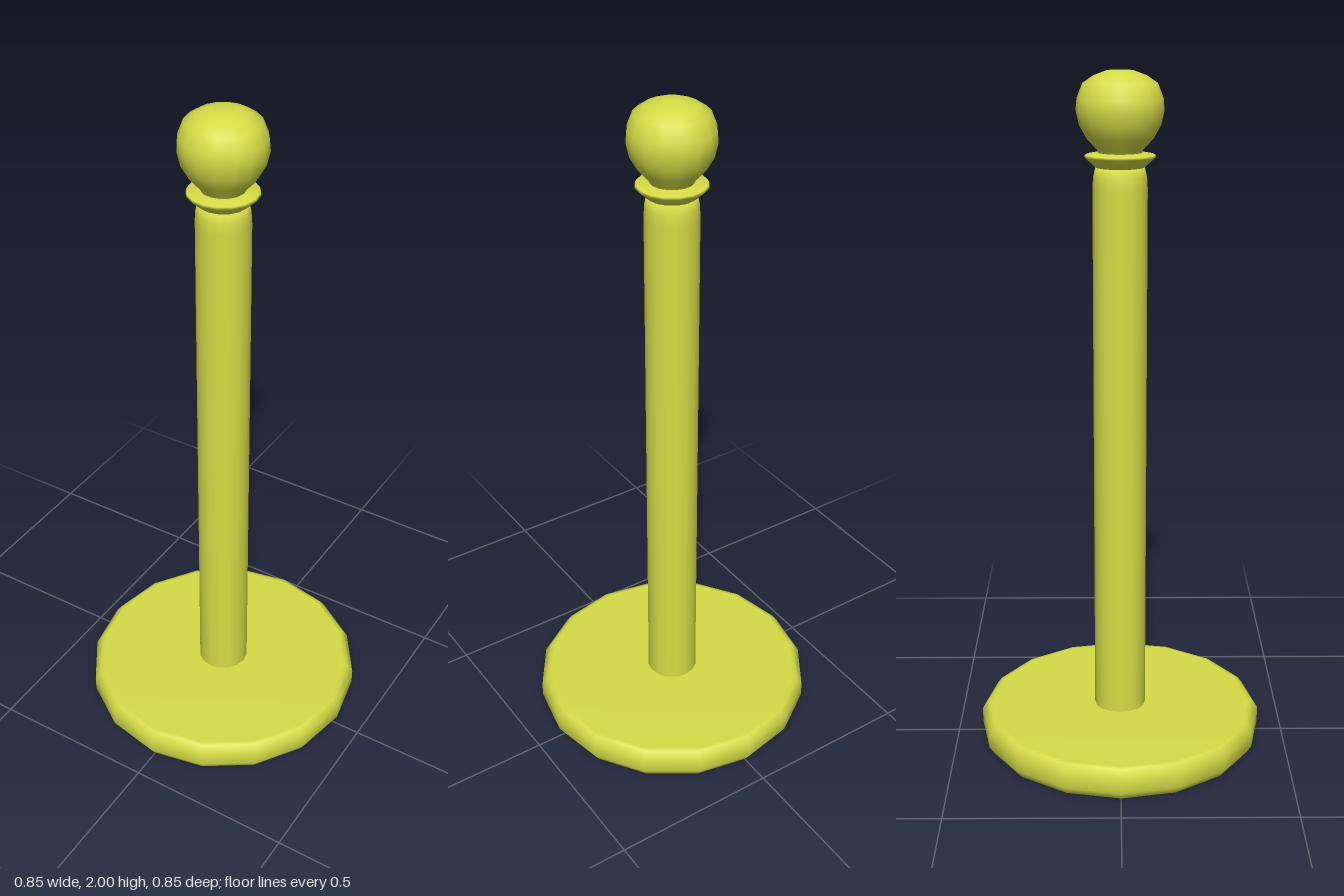
import * as THREE from 'three';

const SIDES = 16;
const material = new THREE.MeshStandardMaterial({ color: 0xd4dc46, side: THREE.DoubleSide });

// Turned part from [radius, height] pairs, listed bottom to top
function turned(name, profile) {
  const points = profile.map(([r, y]) => new THREE.Vector2(r, y));
  const mesh = new THREE.Mesh(new THREE.LatheGeometry(points, SIDES), material);
  mesh.name = name;
  return mesh;
}

export function createModel() {
  const group = new THREE.Group();
  group.name = 'barrierPost';

  // Heavy round foot with bevelled rims
  group.add(turned('base', [
    [0, 0], [0.395, 0], [0.41, 0.006], [0.425, 0.03],
    [0.425, 0.075], [0.408, 0.098], [0.395, 0.1], [0, 0.1],
  ]));

  // Upright pole with a slightly narrowed top
  group.add(turned('pole', [
    [0.077, 0.095], [0.077, 1.68], [0.075, 1.71], [0.068, 1.74], [0, 1.745],
  ]));

  // Flared collar under the knob
  group.add(turned('collar', [
    [0.055, 1.738], [0.07, 1.738], [0.1, 1.766], [0.097, 1.772], [0.062, 1.778],
  ]));

  // Ball knob, flattened at the top and tapering into the collar
  group.add(turned('knob', [
    [0.055, 1.765], [0.064, 1.785], [0.092, 1.815], [0.113, 1.852], [0.122, 1.892],
    [0.119, 1.925], [0.103, 1.965], [0.073, 1.985], [0.038, 1.998], [0, 2],
  ]));

  return group;
}
